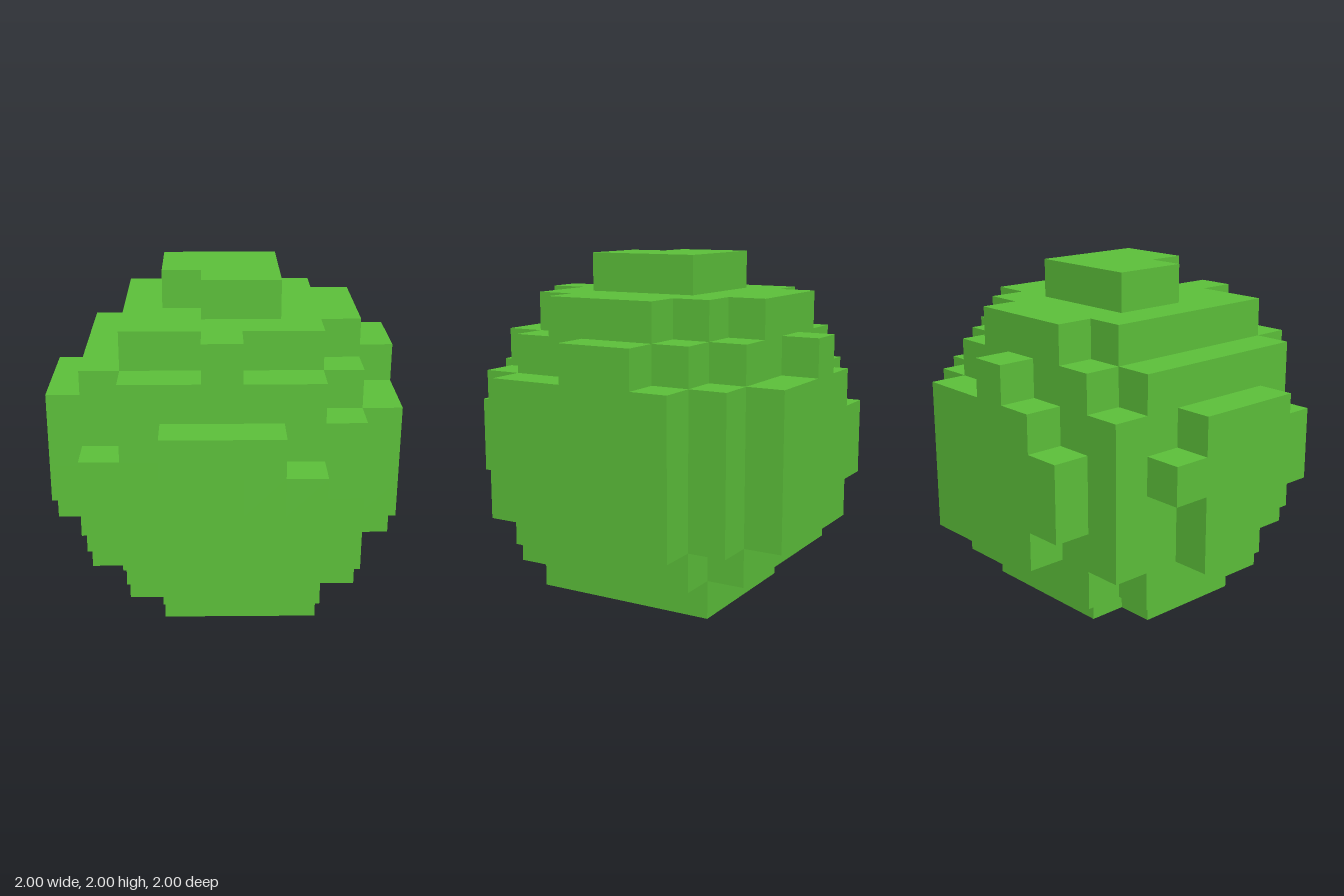
import * as THREE from 'three';
import { mergeGeometries } from 'three/addons/utils/BufferGeometryUtils.js';

// The model sits on a 9 x 9 x 9 grid of cubes.
const N = 9;
const CELL = 2 / N;

// Each part is a list of blocks of cells: [x from, x to, y from, y to, z from, z to].
const PARTS = {
  core: [
    [1, 7, 2, 6, 2, 6], [2, 6, 1, 7, 2, 6], [2, 6, 2, 6, 1, 7],
  ],
  upperEdges: [
    [4, 4, 7, 7, 7, 7], [7, 7, 7, 7, 3, 5], [3, 5, 7, 7, 1, 1],
  ],
  uprightEdges: [
    [1, 1, 3, 4, 7, 7], [7, 7, 2, 5, 7, 7], [7, 7, 2, 5, 1, 1], [1, 1, 2, 5, 1, 1],
  ],
  lowerEdges: [
    [3, 6, 1, 1, 7, 7], [7, 7, 1, 1, 2, 6], [2, 6, 1, 1, 1, 1], [1, 1, 1, 1, 2, 5],
  ],
  topCap: [[3, 5, 8, 8, 3, 4], [4, 5, 8, 8, 5, 5]],
  bottomCap: [[3, 6, 0, 0, 2, 6], [2, 2, 0, 0, 3, 5]],
  frontCap: [[3, 5, 2, 5, 8, 8], [6, 6, 3, 4, 8, 8]],
  backCap: [[3, 6, 2, 5, 0, 0], [4, 4, 6, 6, 0, 0], [2, 2, 3, 4, 0, 0]],
  leftCap: [[8, 8, 3, 5, 2, 6], [8, 8, 2, 2, 2, 5], [8, 8, 6, 6, 3, 4]],
  rightCap: [[0, 0, 2, 5, 3, 4], [0, 0, 3, 5, 5, 5], [0, 0, 4, 4, 2, 2]],
};

// Outward directions with the rotation that turns a +z plane to face them.
const SIDES = [
  [1, 0, 0, 0, Math.PI / 2], [-1, 0, 0, 0, -Math.PI / 2],
  [0, 1, 0, -Math.PI / 2, 0], [0, -1, 0, Math.PI / 2, 0],
  [0, 0, 1, 0, 0], [0, 0, -1, 0, Math.PI],
];

const key = (x, y, z) => (x + 1) * 121 + (y + 1) * 11 + z + 1;

function eachCell(blocks, visit) {
  for (const [x0, x1, y0, y1, z0, z1] of blocks)
    for (let x = x0; x <= x1; x++)
      for (let y = y0; y <= y1; y++)
        for (let z = z0; z <= z1; z++) visit(x, y, z);
}

// One square for every side of a cell that is open to the air.
function openFaces(blocks, solid) {
  const faces = [];
  const done = new Set();
  eachCell(blocks, (x, y, z) => {
    if (done.has(key(x, y, z))) return;
    done.add(key(x, y, z));
    for (const [dx, dy, dz, rx, ry] of SIDES) {
      if (solid.has(key(x + dx, y + dy, z + dz))) continue;
      const face = new THREE.PlaneGeometry(CELL, CELL);
      face.rotateX(rx).rotateY(ry);
      face.translate(
        (x - 4 + dx / 2) * CELL,
        (y + 0.5 + dy / 2) * CELL,
        (z - 4 + dz / 2) * CELL,
      );
      faces.push(face);
    }
  });
  return mergeGeometries(faces);
}

export function createModel() {
  const group = new THREE.Group();
  group.name = 'leafBall';
  const leafGreen = new THREE.MeshStandardMaterial({ color: 0x5cc03a });
  leafGreen.name = 'leafGreen';

  const solid = new Set();
  for (const blocks of Object.values(PARTS))
    eachCell(blocks, (x, y, z) => solid.add(key(x, y, z)));

  for (const [name, blocks] of Object.entries(PARTS)) {
    const mesh = new THREE.Mesh(openFaces(blocks, solid), leafGreen);
    mesh.name = name;
    group.add(mesh);
  }
  return group;
}
